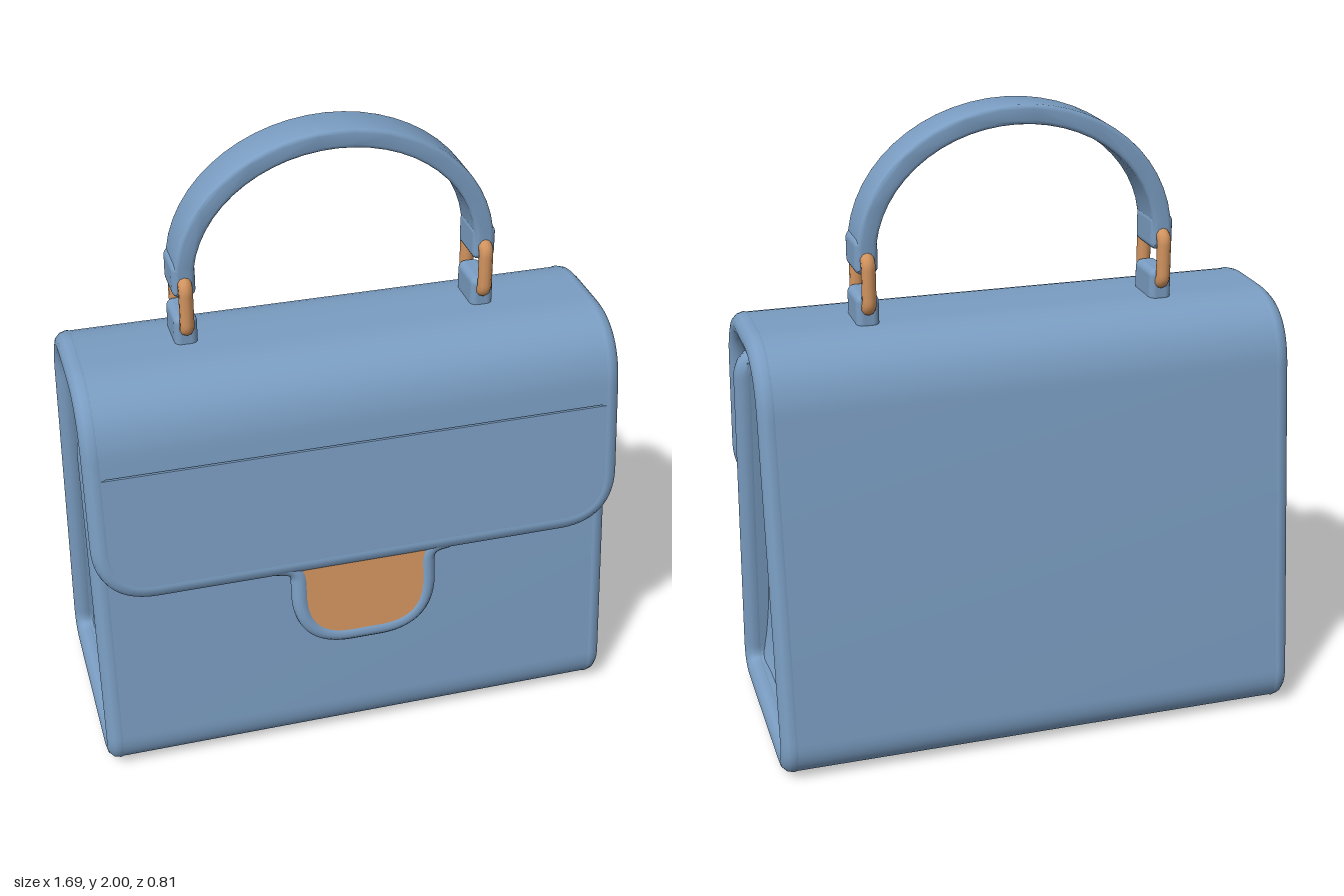
import * as THREE from 'three';
import { toCreasedNormals } from 'three/addons/utils/BufferGeometryUtils.js';
import { RoundedBoxGeometry } from 'three/addons/geometries/RoundedBoxGeometry.js';
import { ParametricGeometry } from 'three/addons/geometries/ParametricGeometry.js';

const leather = new THREE.MeshStandardMaterial({ color: 0x7a9dc2, side: THREE.DoubleSide });
leather.name = 'blue leather';
const metal = new THREE.MeshStandardMaterial({ color: 0xd2945f });
metal.name = 'copper metal';

const EDGE = 0.805; // half width to the piping centre
const flapZ = (y) => 0.28 + 0.1327 * (1.2 - y); // slanted plane of the flap
const frontZ = (y) => 0.335 - 0.117 * (y - 0.04);
const backZ = (y) => -0.37 + 0.115 * (y - 0.04);

// Straight runs joined by rounded corners; each point is [x, y, z, corner size]
function roundPath(points, closed = false) {
  const path = new THREE.CurvePath();
  const v = points.map((p) => new THREE.Vector3(p[0], p[1], p[2]));
  const n = v.length;
  const towards = (i, j) => v[i].clone().add(v[j].clone().sub(v[i]).setLength(points[i][3]));
  let start = closed ? towards(0, 1) : v[0];
  const last = closed ? n : n - 1;
  for (let i = 1; i <= last; i++) {
    const k = i % n;
    if (!closed && i === last) {
      path.add(new THREE.LineCurve3(start, v[k]));
      break;
    }
    const a = towards(k, i - 1);
    const b = towards(k, (k + 1) % n);
    path.add(new THREE.LineCurve3(start, a));
    path.add(new THREE.QuadraticBezierCurve3(a, v[k], b));
    start = b;
  }
  return path;
}

// Outline of a strip of even thickness along a line of points
function stripShape(pts, half) {
  const sides = [[], []];
  pts.forEach((p, i) => {
    const a = pts[Math.max(i - 1, 0)];
    const b = pts[Math.min(i + 1, pts.length - 1)];
    const len = Math.hypot(b.x - a.x, b.y - a.y);
    const nx = (-(b.y - a.y) / len) * half;
    const ny = ((b.x - a.x) / len) * half;
    sides[0].push(new THREE.Vector2(p.x + nx, p.y + ny));
    sides[1].push(new THREE.Vector2(p.x - nx, p.y - ny));
  });
  return new THREE.Shape([...sides[0], ...sides[1].reverse()]);
}

// Plate with rounded lower corners, leaned onto the flap plane
function flapPlate(halfWidth, top, bottom, corner, depth, offset) {
  const outline = roundPath([
    [-halfWidth, top, 0, 0], [-halfWidth, bottom, 0, corner],
    [halfWidth, bottom, 0, corner], [halfWidth, top, 0, 0],
  ]).getPoints(12);
  const shape = new THREE.Shape(outline.map((p) => new THREE.Vector2(p.x, p.y)));
  const geo = new THREE.ExtrudeGeometry(shape, { depth, bevelEnabled: false });
  const pos = geo.attributes.position;
  for (let i = 0; i < pos.count; i++) {
    pos.setZ(i, pos.getZ(i) + offset + flapZ(pos.getY(i)));
  }
  return toCreasedNormals(geo, 0.6);
}

export function createModel() {
  const bag = new THREE.Group();
  bag.name = 'handbag';
  const add = (name, geo, mat = leather) => {
    const mesh = new THREE.Mesh(geo, mat);
    mesh.name = name;
    bag.add(mesh);
    return mesh;
  };

  // One sheet wraps the front, bottom, back, top and start of the flap
  const wrap = roundPath([
    [-frontZ(1.19), 1.19, 0, 0], [-0.335, 0.04, 0, 0.09], [0.37, 0.04, 0, 0.09],
    [0.222, 1.325, 0, 0.17], [-flapZ(1.325), 1.325, 0, 0.17], [-flapZ(1.1), 1.1, 0, 0],
  ]).getPoints(12);
  const body = new THREE.ExtrudeGeometry(stripShape(wrap, 0.038), { depth: 2 * EDGE, bevelEnabled: false });
  body.translate(0, 0, -EDGE);
  body.rotateY(Math.PI / 2);
  add('bodySheet', toCreasedNormals(body, 0.6));
  add('flapPanel', flapPlate(EDGE, 1.1, 0.715, 0.15, 0.0766, -0.0383));

  // Continuous piping round every edge of the sheet
  const side = [
    [EDGE, 1.19, frontZ(1.19), 0.06], [EDGE, 0.04, 0.335, 0.09], [EDGE, 0.04, -0.37, 0.09],
    [EDGE, 1.325, -0.222, 0.17], [EDGE, 1.325, flapZ(1.325), 0.17], [EDGE, 0.715, flapZ(0.715), 0.15],
  ];
  const mirrored = side.map(([x, y, z, r]) => [-x, y, z, r]).reverse();
  add('edgePiping', new THREE.TubeGeometry(roundPath([...side, ...mirrored], true), 640, 0.04, 12, true));

  // Side panels dished inwards
  for (const s of [1, -1]) {
    const gusset = new ParametricGeometry((u, v, target) => {
      const y = 0.05 + 1.155 * v;
      const z = THREE.MathUtils.lerp(backZ(y), frontZ(y), u);
      const dish = (1 - Math.abs(2 * u - 1) ** 4) * (1 - (1 - v) ** 10);
      target.set(s * (0.8 - 0.1 * dish), y, z);
    }, 24, 24);
    add(s > 0 ? 'leftGusset' : 'rightGusset', gusset);
  }

  // Closure tab
  const tabPath = roundPath([
    [-0.28, 0.7, flapZ(0.7), 0], [-0.206, 0.69, flapZ(0.69), 0.05], [-0.206, 0.43, flapZ(0.43), 0.16],
    [0.206, 0.43, flapZ(0.43), 0.16], [0.206, 0.69, flapZ(0.69), 0.05], [0.28, 0.7, flapZ(0.7), 0],
  ]);
  add('tabPiping', new THREE.TubeGeometry(tabPath, 120, 0.029, 12));
  add('tabBacking', flapPlate(0.206, 0.71, 0.43, 0.16, 0.038, -0.02));
  add('claspPlate', flapPlate(0.2, 0.7, 0.437, 0.156, 0.008, 0.016), metal);

  // Arched handle strap
  const Z = -0.02;
  const arc = [new THREE.Vector2(0.47, 1.54)];
  for (let i = 0; i <= 28; i++) {
    const a = (Math.PI * i) / 28;
    arc.push(new THREE.Vector2(0.47 * Math.cos(a), 1.57 + 0.4 * Math.sin(a)));
  }
  arc.push(new THREE.Vector2(-0.47, 1.54));
  const strap = new THREE.ExtrudeGeometry(stripShape(arc, 0.018), {
    depth: 0.126, bevelThickness: 0.012, bevelSize: 0.012, bevelSegments: 3,
  });
  strap.translate(0, 0, Z - 0.063);
  add('handleStrap', toCreasedNormals(strap, 0.7));

  // Strap loops and metal links at both ends
  const link = new THREE.TubeGeometry(roundPath([
    [0, 1.412, Z - 0.086, 0.03], [0, 1.412, Z + 0.086, 0.03],
    [0, 1.568, Z + 0.086, 0.03], [0, 1.568, Z - 0.086, 0.03],
  ], true), 96, 0.022, 10, true);
  for (const x of [0.47, -0.47]) {
    add('handleLoop', new RoundedBoxGeometry(0.072, 0.11, 0.15, 3, 0.022)).position.set(x, 1.572, Z);
    add('baseLoop', new RoundedBoxGeometry(0.072, 0.11, 0.15, 3, 0.022)).position.set(x, 1.398, Z);
    add('handleLink', link, metal).position.x = x;
  }
  return bag;
}
